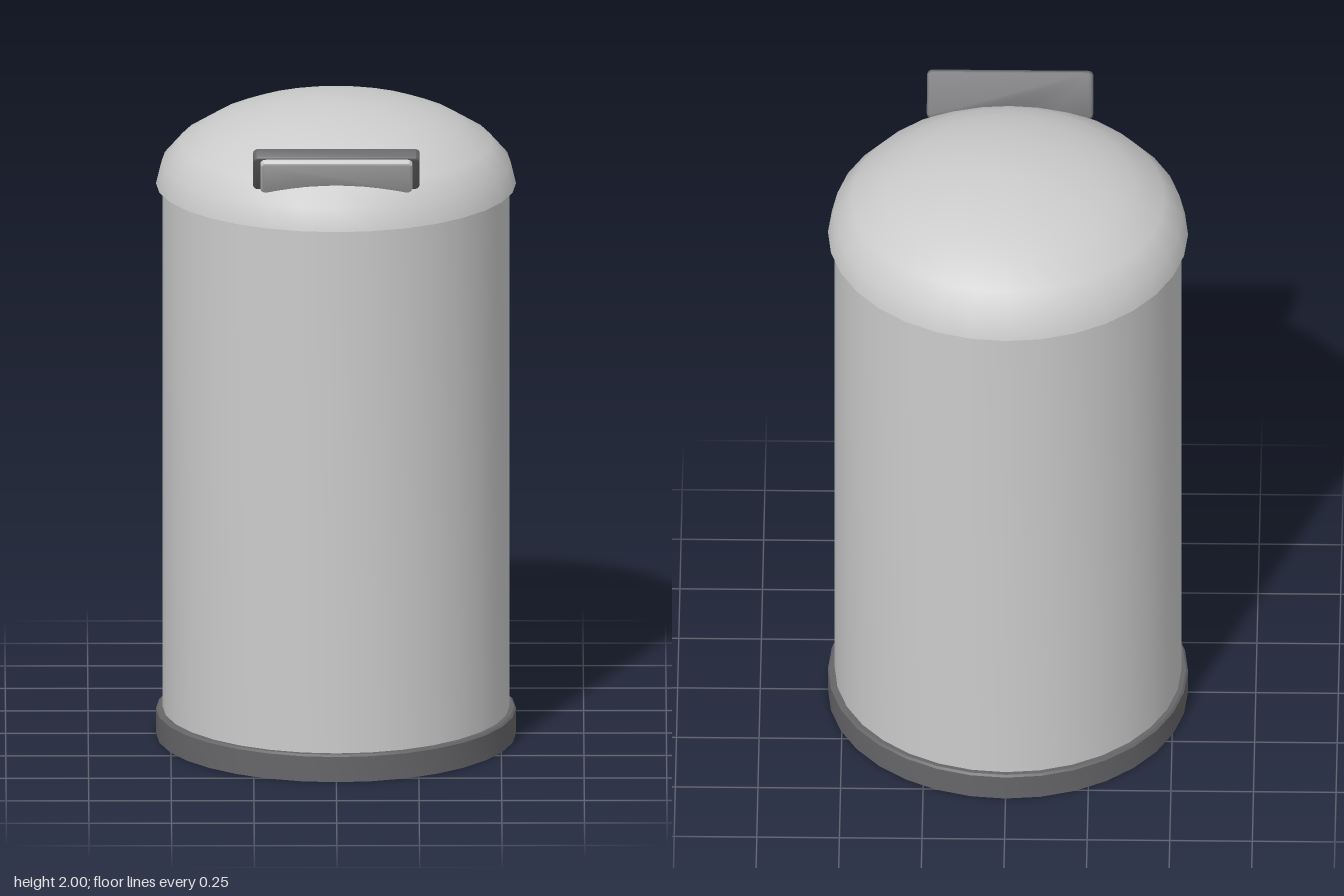
import * as THREE from 'three';
import { toCreasedNormals } from 'three/addons/utils/BufferGeometryUtils.js';

const grey = new THREE.MeshStandardMaterial({ color: 0xcccccc });
const dark = new THREE.MeshStandardMaterial({ color: 0x666669 });

function addMesh(parent, name, geometry, material) {
  const mesh = new THREE.Mesh(toCreasedNormals(geometry, 0.7), material);
  mesh.name = name;
  parent.add(mesh);
  return mesh;
}

// Revolved part from [radius, height] pairs, listed from bottom to top
function turned(profile) {
  return new THREE.LatheGeometry(profile.map(([r, y]) => new THREE.Vector2(r, y)), 32);
}

// Rounded plate with a concave lower edge, built from z0 to z1
function plate(halfWidth, bottom, top, rise, z0, z1) {
  const bevel = 0.006, w = halfWidth - bevel, b = bottom + bevel, t = top - bevel, r = 0.012;
  const s = new THREE.Shape();
  s.moveTo(-w + r, b);
  s.quadraticCurveTo(0, b + rise * 2, w - r, b);
  s.quadraticCurveTo(w, b, w, b + r);
  s.lineTo(w, t - r);
  s.quadraticCurveTo(w, t, w - r, t);
  s.lineTo(-w + r, t);
  s.quadraticCurveTo(-w, t, -w, t - r);
  s.lineTo(-w, b + r);
  s.quadraticCurveTo(-w, b, -w + r, b);
  const g = new THREE.ExtrudeGeometry(s, {
    depth: z1 - z0 - 2 * bevel, bevelThickness: bevel, bevelSize: bevel, bevelSegments: 3, curveSegments: 10,
  });
  return g.translate(0, 0, z0 + bevel);
}

export function createModel() {
  const bin = new THREE.Group();
  bin.name = 'pedalBin';

  // Dark foot ring with closed underside
  addMesh(bin, 'base', turned([
    [0, 0], [0.545, 0], [0.545, 0.079], [0.539, 0.085], [0, 0.085],
  ]), dark);

  // Straight cylindrical body
  addMesh(bin, 'body', turned([[0.525, 0.08], [0.525, 1.74]]), grey);

  // Domed lid overhanging the body
  addMesh(bin, 'lid', turned([
    [0.5, 1.73], [0.545, 1.73], [0.528, 1.8], [0.474, 1.862], [0.38, 1.92],
    [0.305, 1.95], [0.235, 1.97], [0.16, 1.986], [0.08, 1.996], [0, 2],
  ]), grey);

  // Handle leaning outward at the front of the lid
  const handle = new THREE.Group();
  handle.name = 'handle';
  handle.position.set(0, 1.857, 0.406);
  handle.rotation.x = 0.595;
  addMesh(handle, 'handleBack', plate(0.252, 0, 0.147, 0.032, 0, 0.042), dark);
  addMesh(handle, 'handleFront', plate(0.23, 0.004, 0.142, 0.032, 0.036, 0.059), grey);
  bin.add(handle);

  return bin;
}
